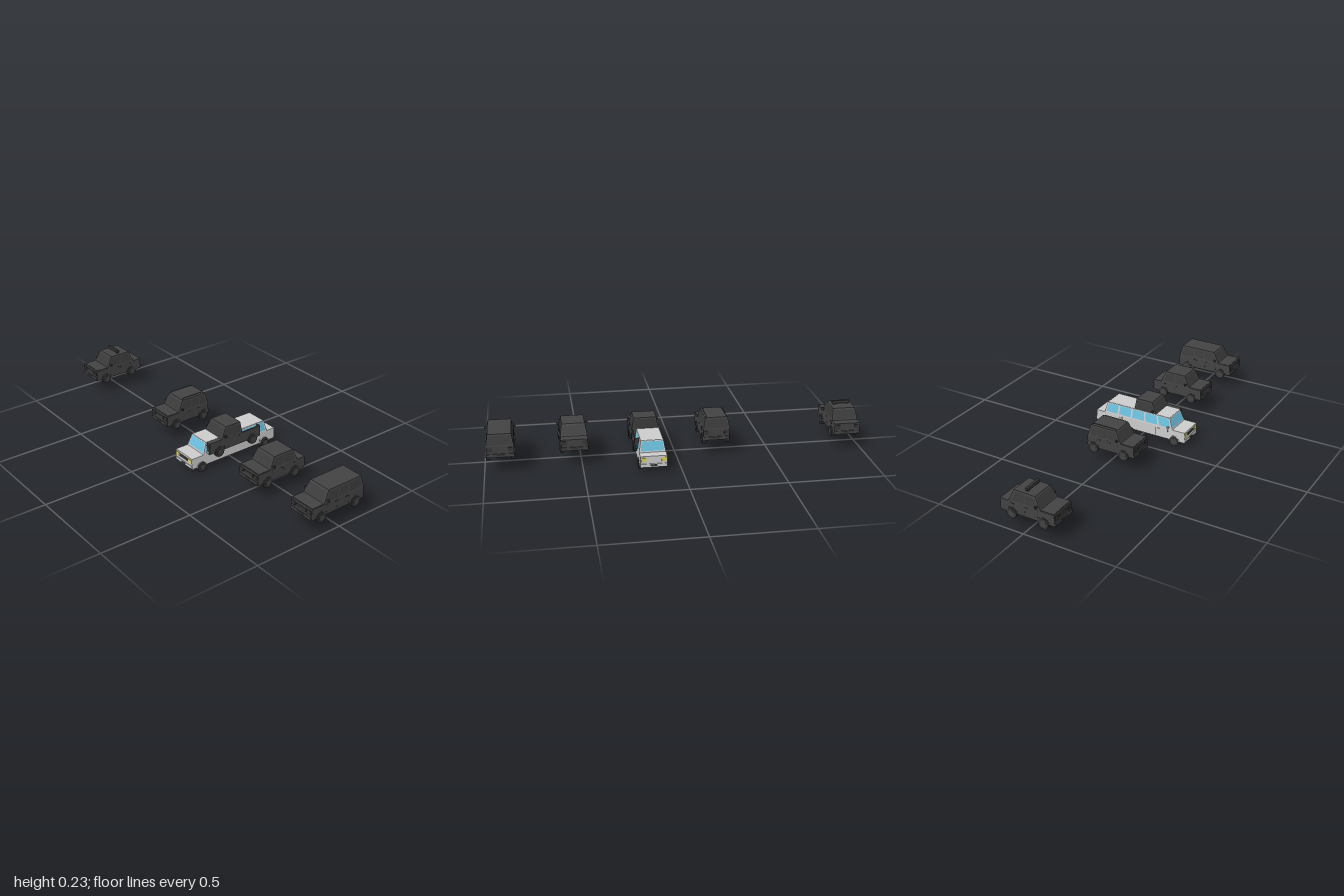
import * as THREE from 'three';

const mat = (color) => new THREE.MeshStandardMaterial({ color, flatShading: true, side: THREE.DoubleSide });
const PAINT = mat(0x424242), TRIM = mat(0x363636), GLASS = mat(0x393939);
const GREY = mat(0xcccccc), BLUE = mat(0x6cc0de), YELLOW = mat(0xd8d060);

function add(parent, name, geometry, material, x = 0, y = 0, z = 0) {
  const mesh = new THREE.Mesh(geometry, material);
  mesh.name = name;
  mesh.position.set(x, y, z);
  parent.add(mesh);
  return mesh;
}

function box(parent, name, material, x0, x1, y0, y1, z0, z1) {
  return add(parent, name, new THREE.BoxGeometry(x1 - x0, y1 - y0, z1 - z0), material,
    (x0 + x1) / 2, (y0 + y1) / 2, (z0 + z1) / 2);
}

// Tapered block: lo and hi are [x0, x1, y, halfWidth]
function taper(parent, name, material, lo, hi) {
  const g = new THREE.BoxGeometry(1, 1, 1);
  const p = g.attributes.position;
  for (let i = 0; i < p.count; i++) {
    const s = p.getY(i) > 0 ? hi : lo;
    p.setXYZ(i, p.getX(i) > 0 ? s[1] : s[0], s[2], Math.sign(p.getZ(i)) * s[3]);
  }
  g.computeVertexNormals();
  return add(parent, name, g, material);
}

// Quad from four corners
function quad(parent, name, material, corners) {
  const g = new THREE.BufferGeometry();
  g.setAttribute('position', new THREE.Float32BufferAttribute(corners.flat(), 3));
  g.setIndex([0, 1, 2, 0, 2, 3]);
  g.computeVertexNormals();
  return add(parent, name, g, material);
}

// Windows lying just outside the sloped walls of a tapered cabin
function windows(parent, lo, hi, material, splits, v0 = 0.1, v1 = 0.86) {
  const mix = THREE.MathUtils.lerp, e = 0.0008;
  for (const s of [-1, 1]) {
    for (let i = 0; i < splits.length - 1; i++) {
      const a = splits[i] + 0.012, b = splits[i + 1] - 0.012;
      const at = (u, v) => [mix(mix(lo[0], hi[0], v), mix(lo[1], hi[1], v), u),
        mix(lo[2], hi[2], v), s * (mix(lo[3], hi[3], v) + e)];
      quad(parent, 'sideWindow', material, [at(a, v0), at(b, v0), at(b, v1), at(a, v1)]);
    }
    const k = s < 0 ? 0 : 1;
    const end = (w, v) => [mix(lo[k], hi[k], v) + s * e, mix(lo[2], hi[2], v), w * mix(lo[3], hi[3], v) * 0.9];
    quad(parent, s < 0 ? 'windshield' : 'rearWindow', material,
      [end(-1, v0), end(1, v0), end(1, v1), end(-1, v1)]);
  }
}

// Wheel with hub and half-ring arch on both sides
function wheels(parent, xs, y, half, archMaterial) {
  const arch = new THREE.Shape();
  arch.absarc(0, 0, 0.032, 0, Math.PI, false);
  arch.absarc(0, 0, 0.027, Math.PI, 0, true);
  const archGeo = new THREE.ExtrudeGeometry(arch, { depth: 0.003, bevelEnabled: false, curveSegments: 10 });
  const tyre = new THREE.CylinderGeometry(0.028, 0.028, 0.02, 18).rotateX(Math.PI / 2);
  const hub = new THREE.CylinderGeometry(0.016, 0.017, 0.0025, 14).rotateX(Math.PI / 2);
  for (const x of xs) for (const s of [-1, 1]) {
    add(parent, 'wheel', tyre, TRIM, x, y, s * (half - 0.006));
    add(parent, 'hub', hub, PAINT, x, y, s * (half + 0.0045));
    add(parent, 'wheelArch', archGeo, archMaterial, x, y, s * half - 0.0015);
  }
}

function doorDetails(parent, seams, handles, y0, y1, half, material) {
  for (const s of [-1, 1]) {
    for (const x of seams) box(parent, 'doorSeam', TRIM, x - 0.0006, x + 0.0006, y0, y1, s * half - 0.0005, s * half + 0.0005);
    for (const x of handles) box(parent, 'doorHandle', material, x - 0.006, x + 0.006, y1 - 0.011, y1 - 0.007, s * half - 0.002, s * half + 0.002);
  }
}

function mirrors(parent, x, y, half, material) {
  for (const s of [-1, 1]) {
    const z = s * (half + 0.005);
    box(parent, 'wingMirror', material, x - 0.004, x + 0.004, y - 0.005, y + 0.005, z - 0.007, z + 0.007);
  }
}

// Bumper, lamps and plate on both ends
function ends(parent, x0, x1, y0, half, bodyMaterial, lampMaterial) {
  for (const [x, s] of [[x0, -1], [x1, 1]]) {
    const span = (d0, d1) => (s < 0 ? [x - d1, x - d0] : [x + d0, x + d1]);
    box(parent, 'bumper', bodyMaterial, ...span(-0.002, 0.004), y0 + 0.005, y0 + 0.02, -half * 0.97, half * 0.97);
    box(parent, 'plate', TRIM, ...span(0.003, 0.005), y0 + 0.008, y0 + 0.017, -0.018, 0.018);
    for (const k of [-1, 1]) {
      const z = k * half * 0.76;
      box(parent, 'lamp', lampMaterial, ...span(-0.001, 0.003), y0 + 0.032, y0 + 0.053, z - 0.013, z + 0.013);
    }
    if (s < 0) box(parent, 'grille', TRIM, ...span(-0.001, 0.002), y0 + 0.034, y0 + 0.05, -0.034, 0.034);
  }
}

// Dark car; tail = body end, roofEnd / cabinEnd = rear of cabin at top and belt line
function darkCar(name, z, { tail, roofEnd, cabinEnd, rearWheel, splits, bed }) {
  const car = new THREE.Group();
  car.name = name;
  car.position.z = z;
  const H = 0.07, base = 0.09, belt = 0.153;
  if (bed) {
    box(car, 'body', PAINT, -0.172, cabinEnd, base, belt, -H, H);
    box(car, 'bedFloor', PAINT, cabinEnd, tail, base, 0.11, -H, H);
    for (const s of [-1, 1]) box(car, 'bedSide', PAINT, cabinEnd, tail, 0.11, 0.15, s * (H - 0.003) - 0.003, s * (H - 0.003) + 0.003);
    box(car, 'tailgate', PAINT, tail - 0.006, tail, 0.11, 0.15, -H, H);
  } else {
    taper(car, 'body', PAINT, [-0.172, tail, base, H], [-0.169, tail, belt - 0.002, H]);
  }
  if (!bed) box(car, 'hood', PAINT, -0.165, -0.094, belt - 0.003, belt, -H + 0.003, H - 0.003);
  const lo = [-0.095, cabinEnd, belt - 0.002, H], hi = [-0.062, roofEnd, 0.212, 0.06];
  taper(car, 'cabin', PAINT, lo, hi);
  windows(car, lo, hi, GLASS, splits);
  wheels(car, [-0.109, rearWheel], 0.088, H, PAINT);
  const seams = [-0.078, ...splits.slice(1, 3).map((u) => lo[0] + u * (lo[1] - lo[0]))];
  doorDetails(car, seams, seams.slice(1).map((x) => x - 0.012), base + 0.006, belt - 0.003, H, TRIM);
  mirrors(car, -0.074, 0.165, H, TRIM);
  ends(car, -0.172, tail, base, H, PAINT, TRIM);
  return car;
}

function limousine(z) {
  const car = new THREE.Group();
  car.name = 'limousine';
  car.position.z = z;
  const H = 0.069, base = 0.032, belt = 0.093;
  box(car, 'body', GREY, -0.273, 0.273, base, belt, -H, H);
  const lo = [-0.2, 0.222, belt, H], hi = [-0.178, 0.207, 0.152, 0.059];
  taper(car, 'cabin', GREY, lo, hi);
  box(car, 'roof', GREY, -0.177, 0.206, 0.151, 0.154, -0.058, 0.058);
  windows(car, lo, hi, BLUE, [0.01, 0.2, 0.4, 0.6, 0.8, 0.99], 0.12, 0.94);
  wheels(car, [-0.211, 0.207], 0.029, H, GREY);
  doorDetails(car, [-0.172, -0.1, 0.11, 0.175], [-0.115, 0.122], base + 0.006, belt - 0.002, H, GREY);
  mirrors(car, -0.176, 0.103, H, GREY);
  ends(car, -0.273, 0.273, base, H, GREY, YELLOW);
  return car;
}

export function createModel() {
  const model = new THREE.Group();
  model.name = 'vehicleFleet';
  const sedan = { tail: 0.131, roofEnd: 0.058, cabinEnd: 0.083, rearWheel: 0.068, splits: [0.07, 0.5, 0.93] };

  model.add(darkCar('van', 0.915, { tail: 0.161, roofEnd: 0.147, cabinEnd: 0.161, rearWheel: 0.112, splits: [0.04, 0.34, 0.62, 0.96] }));
  model.add(darkCar('sedan', 0.538, sedan));
  model.add(darkCar('pickup', 0.161, { tail: 0.161, roofEnd: 0.033, cabinEnd: 0.04, rearWheel: 0.112, splits: [0.06, 0.94], bed: true }));
  model.add(limousine(0.147));

  // Hatchback with roof rails
  const hatch = darkCar('hatchback', -0.211, { tail: 0.103, roofEnd: 0.088, cabinEnd: 0.103, rearWheel: 0.068, splits: [0.05, 0.4, 0.72, 0.95] });
  for (const s of [-1, 1]) {
    const z = s * 0.052;
    const path = new THREE.CatmullRomCurve3([[-0.06, 0.211], [-0.055, 0.219], [0.076, 0.219], [0.083, 0.211]]
      .map(([x, y]) => new THREE.Vector3(x, y, z)), false, 'catmullrom', 0.05);
    add(hatch, 'roofRail', new THREE.TubeGeometry(path, 24, 0.0012, 6), TRIM);
  }
  model.add(hatch);

  // Sedan with a light bar across the roof
  const patrol = darkCar('lightBarSedan', -0.917, sedan);
  box(patrol, 'lightBar', TRIM, -0.013, 0, 0.218, 0.233, -0.048, 0.048);
  for (const s of [-1, 1]) box(patrol, 'lightBarFoot', TRIM, -0.011, -0.002, 0.211, 0.219, s * 0.035 - 0.005, s * 0.035 + 0.005);
  model.add(patrol);
  return model;
}
